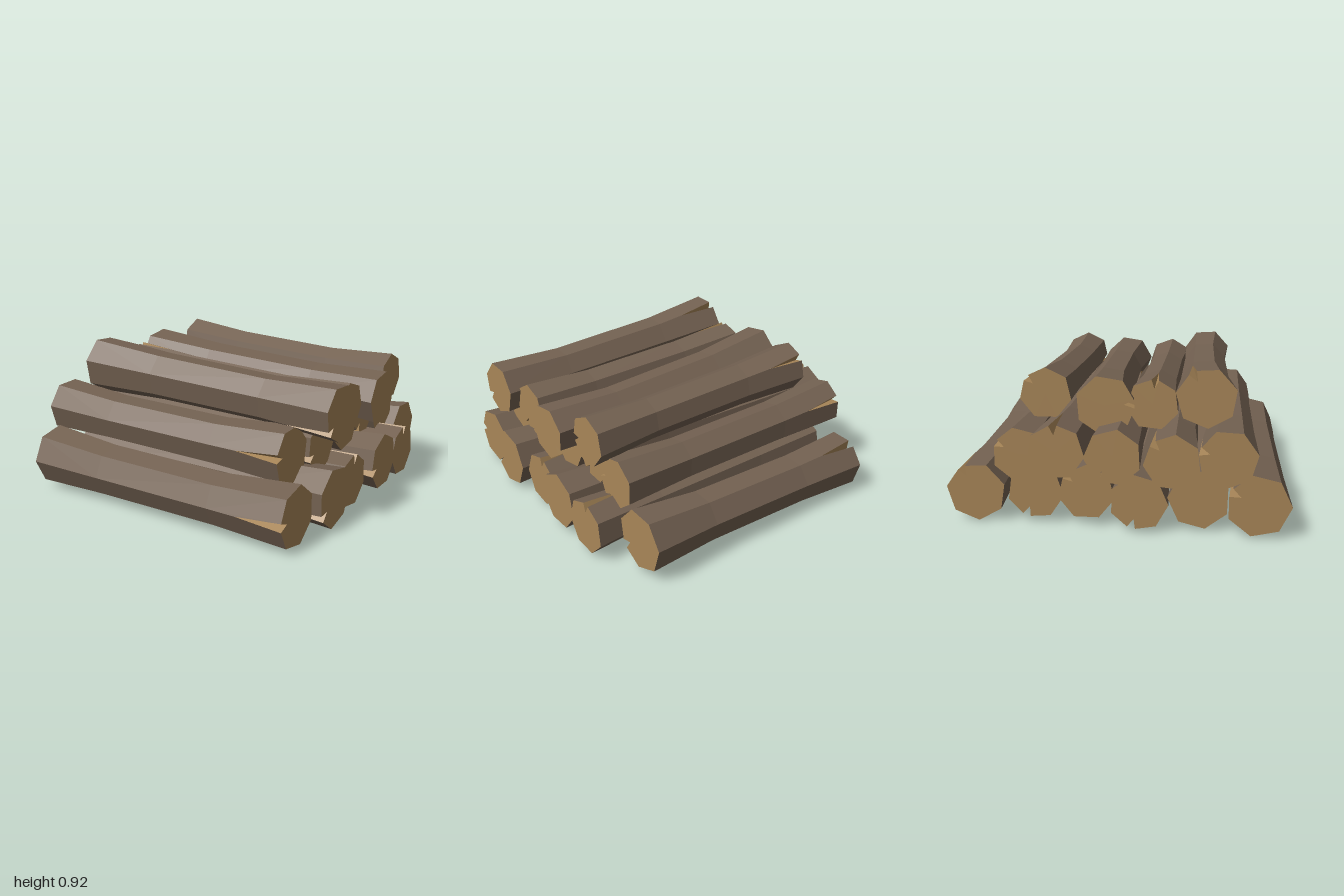
import * as THREE from 'three';

const SIDES = 7;
const bark = new THREE.MeshStandardMaterial({ color: 0x746252, flatShading: true });
const wood = new THREE.MeshStandardMaterial({ color: 0xa88658, flatShading: true, side: THREE.DoubleSide });

// each log: [x, y, z, radius] of its -x end and its +x end, the angle of the split at +x,
// and how far the middle bows along z
const rows = {
  bottomLog: [
    [[-0.92, 0.2, 0.815, 0.185], [0.87, 0.195, 0.81, 0.182], 0, 0.016],
    [[-0.85, 0.2, 0.48, 0.18], [0.93, 0.2, 0.475, 0.185], -27, 0],
    [[-0.9, 0.185, 0.14, 0.17], [0.88, 0.178, 0.14, 0.17], 100, 0],
    [[-0.83, 0.21, -0.17, 0.168], [0.94, 0.215, -0.175, 0.178], -13, 0],
    [[-0.82, 0.2, -0.47, 0.168], [0.94, 0.195, -0.48, 0.167], 95, 0],
    [[-0.82, 0.185, -0.825, 0.178], [0.8, 0.23, -0.82, 0.185], -35, 0],
  ],
  middleLog: [
    [[-0.96, 0.48, 0.635, 0.17], [0.73, 0.46, 0.63, 0.175], 10, 0.015],
    [[-0.93, 0.44, 0.33, 0.165], [0.75, 0.43, 0.315, 0.158], -19, 0],
    [[-0.96, 0.47, 0, 0.165], [0.75, 0.48, 0, 0.17], 80, 0],
    [[-0.96, 0.49, -0.32, 0.165], [0.74, 0.5, -0.28, 0.165], -60, 0],
    [[-0.93, 0.46, -0.53, 0.16], [0.76, 0.445, -0.53, 0.16], 0, -0.007],
  ],
  topLog: [
    [[-0.74, 0.765, 0.51, 0.178], [0.95, 0.705, 0.485, 0.165], -35, -0.012],
    [[-0.68, 0.705, 0.2, 0.155], [0.88, 0.66, 0.215, 0.15], -70, 0],
    [[-0.75, 0.71, -0.065, 0.178], [0.94, 0.645, -0.1, 0.165], 210, -0.02],
    [[-0.68, 0.755, -0.425, 0.155], [0.86, 0.7, -0.41, 0.15], -13, 0.01],
  ],
};

function mesh(name, tris, material) {
  const geometry = new THREE.BufferGeometry().setFromPoints(tris);
  geometry.computeVertexNormals();
  const m = new THREE.Mesh(geometry, material);
  m.name = name;
  return m;
}

function makeLog(name, from, to, degrees, bow) {
  const start = THREE.MathUtils.degToRad(degrees);
  // seven-sided rings: flared ends and a thinner, slightly sagging and bowed middle
  const rings = [[0, 1, 0], [0.28, 0.86, 1], [0.73, 0.84, 1], [1, 1, 0]].map(([t, scale, bend]) => {
    const [x, y, z, r] = from.map((v, i) => THREE.MathUtils.lerp(v, to[i], t));
    const centre = new THREE.Vector3(x, y - 0.005 * bend, z + bow * bend);
    const points = Array.from({ length: SIDES }, (_, k) => {
      const a = start + (k / SIDES) * Math.PI * 2;
      return new THREE.Vector3(0, Math.sin(a), Math.cos(a)).multiplyScalar(r * scale).add(centre);
    });
    return { centre, points };
  });

  const barkTris = [], woodTris = [];

  // bark of the middle stretch
  const p = rings[1].points, q = rings[2].points;
  for (let k = 0; k < SIDES; k++) {
    const n = (k + 1) % SIDES;
    barkTris.push(p[k], q[k], q[n], p[k], q[n], p[n]);
  }

  // each end: bark with a wedge split along one edge, and a cut face
  const finishEnd = (inner, outer, split, flip) => {
    const add = (list, a, b, c) => (flip ? list.push(a, c, b) : list.push(a, b, c));
    const P = inner.points, Q = outer.points, c = outer.centre;
    const left = Q[split].clone().lerp(Q[(split + SIDES - 1) % SIDES], 0.18);
    const right = Q[split].clone().lerp(Q[(split + 1) % SIDES], 0.18);
    const apex = Q[split].clone().lerp(c, 0.4);
    const tip = Q[split].clone().lerp(P[split], 0.6);
    for (let k = 0; k < SIDES; k++) {
      const n = (k + 1) % SIDES;
      const a = k === split ? right : Q[k];
      const b = n === split ? left : Q[n];
      add(barkTris, P[k], b, a);
      add(barkTris, P[k], P[n], b);
      if (k === split) add(barkTris, P[k], a, tip);
      if (n === split) add(barkTris, P[n], tip, b);
      add(woodTris, c, a, b);
    }
    add(woodTris, c, left, apex);
    add(woodTris, c, apex, right);
    add(woodTris, left, tip, apex);
    add(woodTris, apex, tip, right);
  };
  finishEnd(rings[2], rings[3], 0, true);
  finishEnd(rings[1], rings[0], 3, false);

  const log = new THREE.Group();
  log.name = name;
  log.add(mesh('bark', barkTris, bark), mesh('cutWood', woodTris, wood));
  return log;
}

export function createModel() {
  const pile = new THREE.Group();
  pile.name = 'logPile';
  for (const [name, logs] of Object.entries(rows)) {
    logs.forEach((log, i) => pile.add(makeLog(name + (i + 1), ...log)));
  }
  return pile;
}
